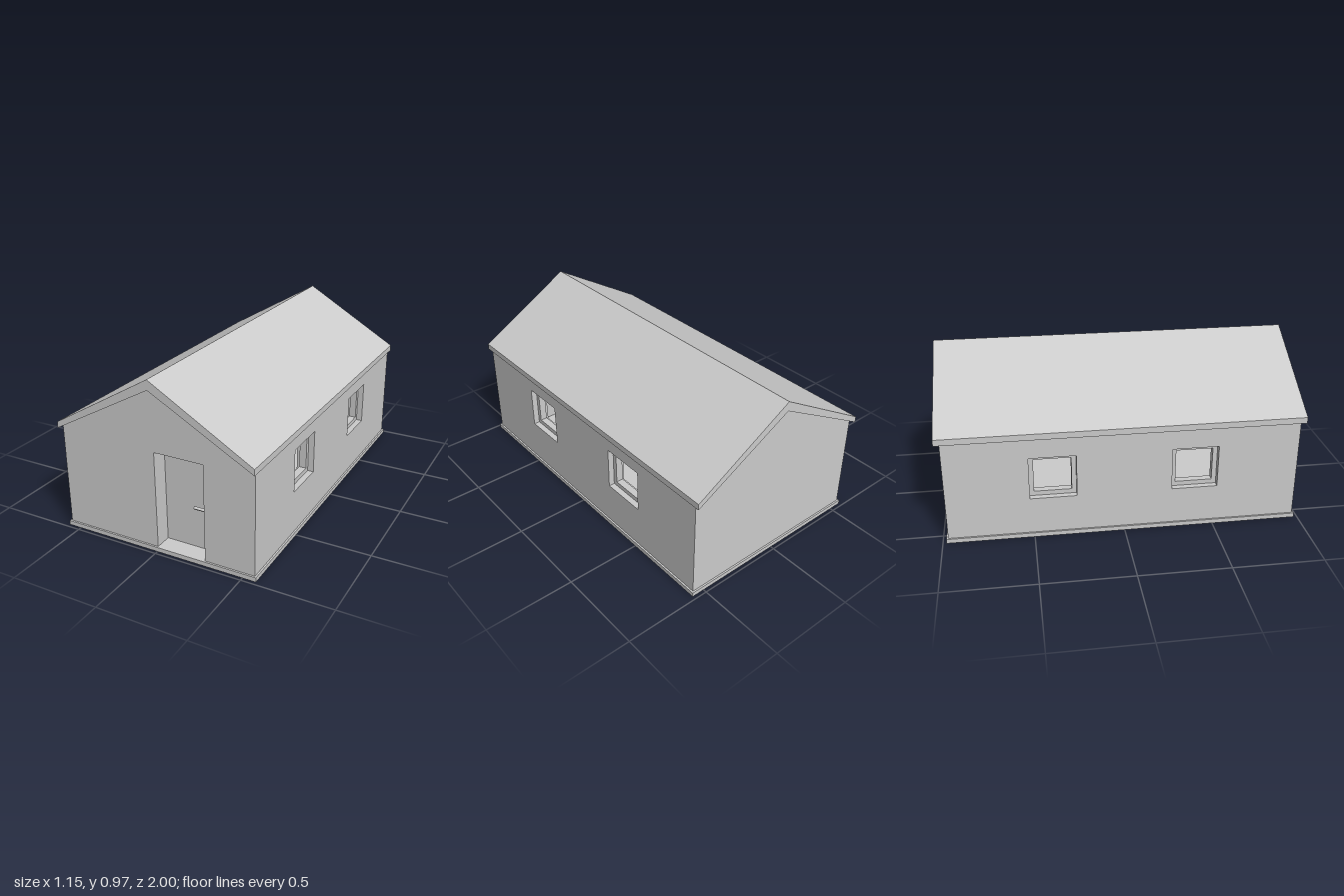
import * as THREE from 'three';

const material = new THREE.MeshStandardMaterial({ color: 0xcccccc, flatShading: true });

const WALL_X = 0.565, WALL_Z = 0.97, THICK = 0.1, FLOOR = 0.025;
const EAVE = 0.6, RIDGE = 0.911;

function mesh(name, geometry, parent) {
  const m = new THREE.Mesh(geometry, material);
  m.name = name;
  parent.add(m);
  return m;
}

function polygon(points) {
  return new THREE.Shape(points.map(([x, y]) => new THREE.Vector2(x, y)));
}

function rectangle(cx, cy, halfW, halfH) {
  return polygon([
    [cx - halfW, cy - halfH], [cx + halfW, cy - halfH],
    [cx + halfW, cy + halfH], [cx - halfW, cy + halfH],
  ]);
}

// Extrudes a profile along z, starting at z = start
function extrude(shape, depth, start) {
  return new THREE.ExtrudeGeometry(shape, { depth, bevelEnabled: false }).translate(0, 0, start);
}

// Extrudes a (z, y) profile along x, starting at x = start
function extrudeSideways(shape, depth, start) {
  return new THREE.ExtrudeGeometry(shape, { depth, bevelEnabled: false })
    .rotateY(Math.PI / 2).translate(start, 0, 0);
}

export function createModel() {
  const house = new THREE.Group();
  house.name = 'house';

  // Floor slab
  mesh('floorSlab', new THREE.BoxGeometry(1.15, FLOOR, 1.96).translate(0, FLOOR / 2, 0), house);

  // Gable walls, the front one with a doorway notch
  const gableTop = [[WALL_X, FLOOR], [WALL_X, EAVE], [0, RIDGE], [-WALL_X, EAVE], [-WALL_X, FLOOR]];
  const doorway = [[0, FLOOR], [0, 0.57], [0.282, 0.57], [0.282, FLOOR]];
  mesh('frontWall', extrude(polygon([...gableTop, ...doorway]), THICK, WALL_Z - THICK), house);
  mesh('backWall', extrude(polygon(gableTop), THICK, -WALL_Z), house);

  // Side walls with two framed windows each; the left windows sit a little lower
  for (const side of [1, -1]) {
    const label = side > 0 ? 'left' : 'right';
    const centreY = side > 0 ? 0.393 : 0.36;
    const wall = rectangle(0, (FLOOR + EAVE) / 2, WALL_Z - THICK, (EAVE - FLOOR) / 2);
    for (const z of [-0.39, 0.39]) {
      wall.holes.push(rectangle(z, centreY, 0.128, 0.1225));
      const frame = rectangle(z, centreY, 0.128, 0.1225);
      frame.holes.push(rectangle(z, centreY, 0.1025, 0.0965));
      mesh(label + 'WindowFrame', extrudeSideways(frame, 0.04, side * 0.511 - 0.02), house);
    }
    const start = side > 0 ? WALL_X - THICK : -WALL_X;
    mesh(label + 'Wall', extrudeSideways(wall, THICK, start), house);
  }

  // Door leaf set deep in the doorway, with a lever handle
  const door = new THREE.Group();
  door.name = 'door';
  house.add(door);
  mesh('doorLeaf', new THREE.BoxGeometry(0.282, 0.545, 0.03).translate(0.141, 0.2975, 0.86), door);
  mesh('handleLever', new THREE.CylinderGeometry(0.01, 0.01, 0.068, 4)
    .rotateZ(Math.PI / 2).translate(0.218, 0.271, 0.9), door);
  mesh('handleStem', new THREE.BoxGeometry(0.012, 0.01, 0.025).translate(0.243, 0.271, 0.886), door);

  // Pitched roof
  const roof = polygon([
    [0.575, 0.595], [0.575, 0.63], [0, 0.967], [-0.575, 0.63], [-0.575, 0.595], [0, 0.912],
  ]);
  mesh('roof', extrude(roof, 2, -1), house);

  return house;
}
